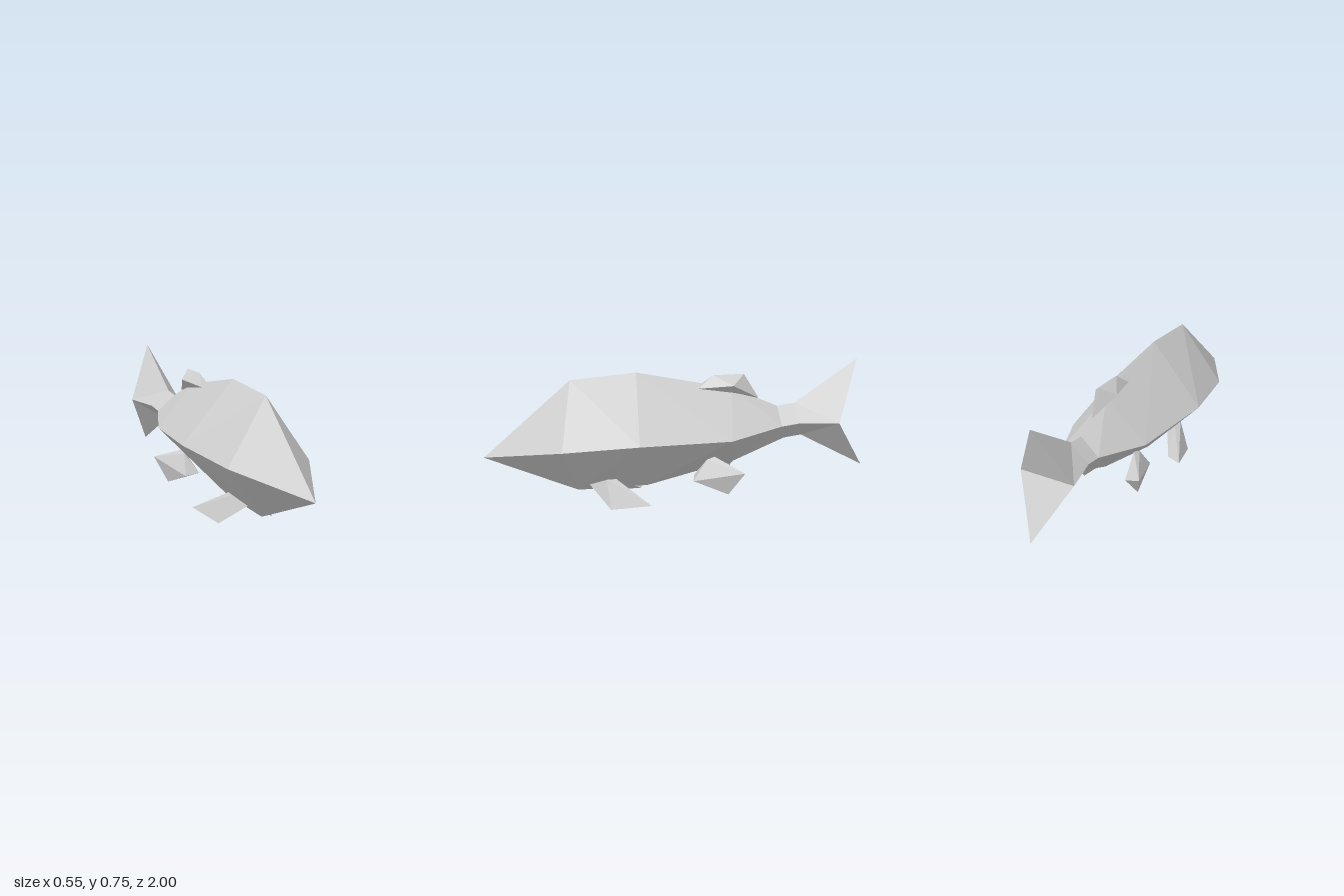
import * as THREE from 'three';
import { ConvexGeometry } from 'three/addons/geometries/ConvexGeometry.js';

const material = new THREE.MeshStandardMaterial({ color: 0xcccccc, flatShading: true });

// Body cross-sections, nose to tail: [topZ, topY, sideX, sideY, sideZ, bottomZ, bottomY]
const sections = [
  [1.0, 0.25, 0, 0.25, 1.0, 1.0, 0.25],
  [0.54, 0.66, 0.22, 0.335, 0.58, 0.51, 0.06],
  [0.2, 0.695, 0.277, 0.378, 0.19, 0.14, 0.08],
  [-0.3, 0.605, 0.21, 0.378, -0.28, -0.32, 0.21],
  [-0.54, 0.505, 0.1, 0.42, -0.55, -0.58, 0.33],
  [-0.63, 0.52, 0.1, 0.435, -0.64, -0.67, 0.345],
  [-0.95, 0.755, 0.145, 0.445, -0.84, -1.0, 0.175],
];

function bodyGeometry() {
  const rings = sections.map(([tz, ty, sx, sy, sz, bz, by]) => [
    [0, ty, tz], [sx, sy, sz], [0, by, bz], [-sx, sy, sz],
  ]);
  const pos = [];
  const tri = (a, b, c) => pos.push(...a, ...b, ...c);
  for (let i = 0; i < rings.length - 1; i++) {
    for (let j = 0; j < 4; j++) {
      const k = (j + 1) % 4;
      const a = rings[i][j], b = rings[i][k], c = rings[i + 1][k], d = rings[i + 1][j];
      if (i === 0) tri(a, c, d); // nose closes to a point
      else if (j % 2 === 0) { tri(a, b, c); tri(a, c, d); }
      else { tri(a, b, d); tri(b, c, d); }
    }
  }
  // Notched back of the tail
  const [top, left, bottom, right] = rings[rings.length - 1];
  tri(top, left, right);
  tri(bottom, right, left);
  const g = new THREE.BufferGeometry();
  g.setAttribute('position', new THREE.Float32BufferAttribute(pos, 3));
  g.computeVertexNormals();
  return g;
}

// Faceted fin from its corner points, optionally mirrored in x
function fin(name, points, side = 1) {
  const corners = points.map(([x, y, z]) => new THREE.Vector3(x * side, y, z));
  const mesh = new THREE.Mesh(new ConvexGeometry(corners), material);
  mesh.name = name;
  return mesh;
}

const dorsal = [
  [0.025, 0.61, -0.12], [-0.025, 0.61, -0.12], [0, 0.675, -0.2], [0, 0.68, -0.36],
  [0.06, 0.63, -0.3], [-0.06, 0.63, -0.3], [0, 0.55, -0.44],
];
const pectoral = [
  [0.045, 0.105, 0.45], [0.09, 0.145, 0.36], [0.08, 0.145, 0.31], [0.04, 0.1, 0.3],
  [0.15, 0, 0.34], [0.197, 0.035, 0.13], [0.105, 0.025, 0.18],
];
const pelvic = [
  [0.05, 0.15, -0.1], [0.135, 0.143, -0.09], [0.11, 0.25, -0.16], [0.1, 0.265, -0.2],
  [0.21, 0.205, -0.35], [0.16, 0.075, -0.27], [0.12, 0.17, -0.33],
];

export function createModel() {
  const group = new THREE.Group();
  group.name = 'fish';
  const body = new THREE.Mesh(bodyGeometry(), material);
  body.name = 'bodyAndTail';
  group.add(body, fin('dorsalFin', dorsal));
  for (const [label, side] of [['left', 1], ['right', -1]]) {
    group.add(fin(label + 'PectoralFin', pectoral, side), fin(label + 'PelvicFin', pelvic, side));
  }
  return group;
}
